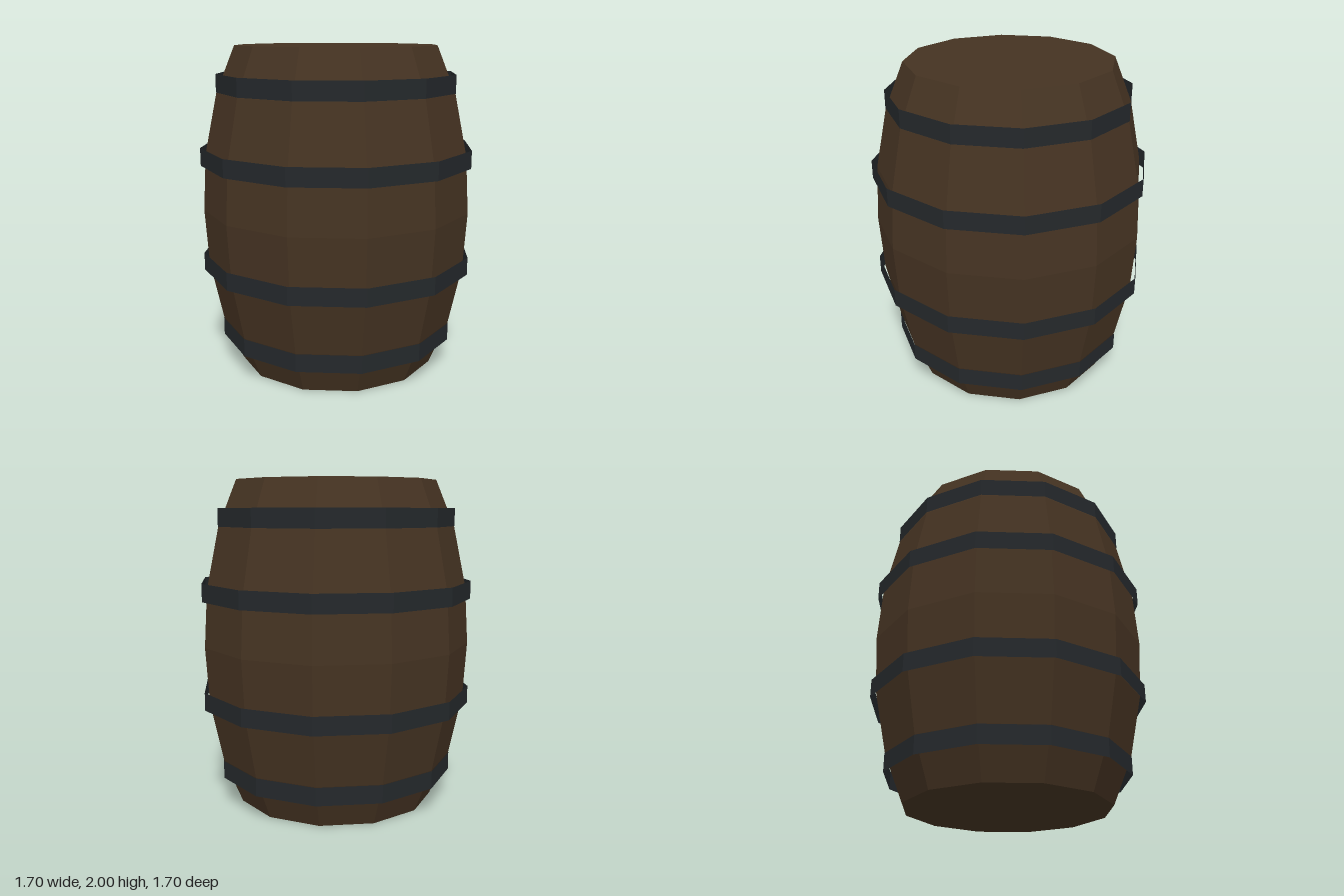
import * as THREE from 'three';

const SIDES = 12;

export function createModel() {
  const barrel = new THREE.Group();
  barrel.name = 'barrel';

  const wood = new THREE.MeshStandardMaterial({ color: 0x453322, flatShading: true });
  const iron = new THREE.MeshStandardMaterial({
    color: 0x24282b, flatShading: true, side: THREE.DoubleSide,
  });

  // Bulging staves with flat ends, as radius and height from bottom to top
  const lower = [[0, 0], [0.625, 0], [0.74, 0.28], [0.818, 0.65]];
  const upper = lower.map(([r, y]) => [r, 2 - y]).reverse();
  const profile = [...lower, [0.84, 1], ...upper].map(([r, y]) => new THREE.Vector2(r, y));
  const staves = new THREE.Mesh(new THREE.LatheGeometry(profile, SIDES), wood);
  staves.name = 'staves';
  barrel.add(staves);

  // Thin open hoops, mirrored about the middle of the barrel
  const addHoop = (name, radius, y) => {
    const geometry = new THREE.CylinderGeometry(radius, radius, 0.11, SIDES, 1, true);
    const hoop = new THREE.Mesh(geometry, iron);
    hoop.name = name;
    hoop.position.y = y;
    barrel.add(hoop);
  };
  for (const [name, radius, offset] of [['EndHoop', 0.742, 0.777], ['MiddleHoop', 0.85, 0.333]]) {
    addHoop('lower' + name, radius, 1 - offset);
    addHoop('upper' + name, radius, 1 + offset);
  }

  return barrel;
}
